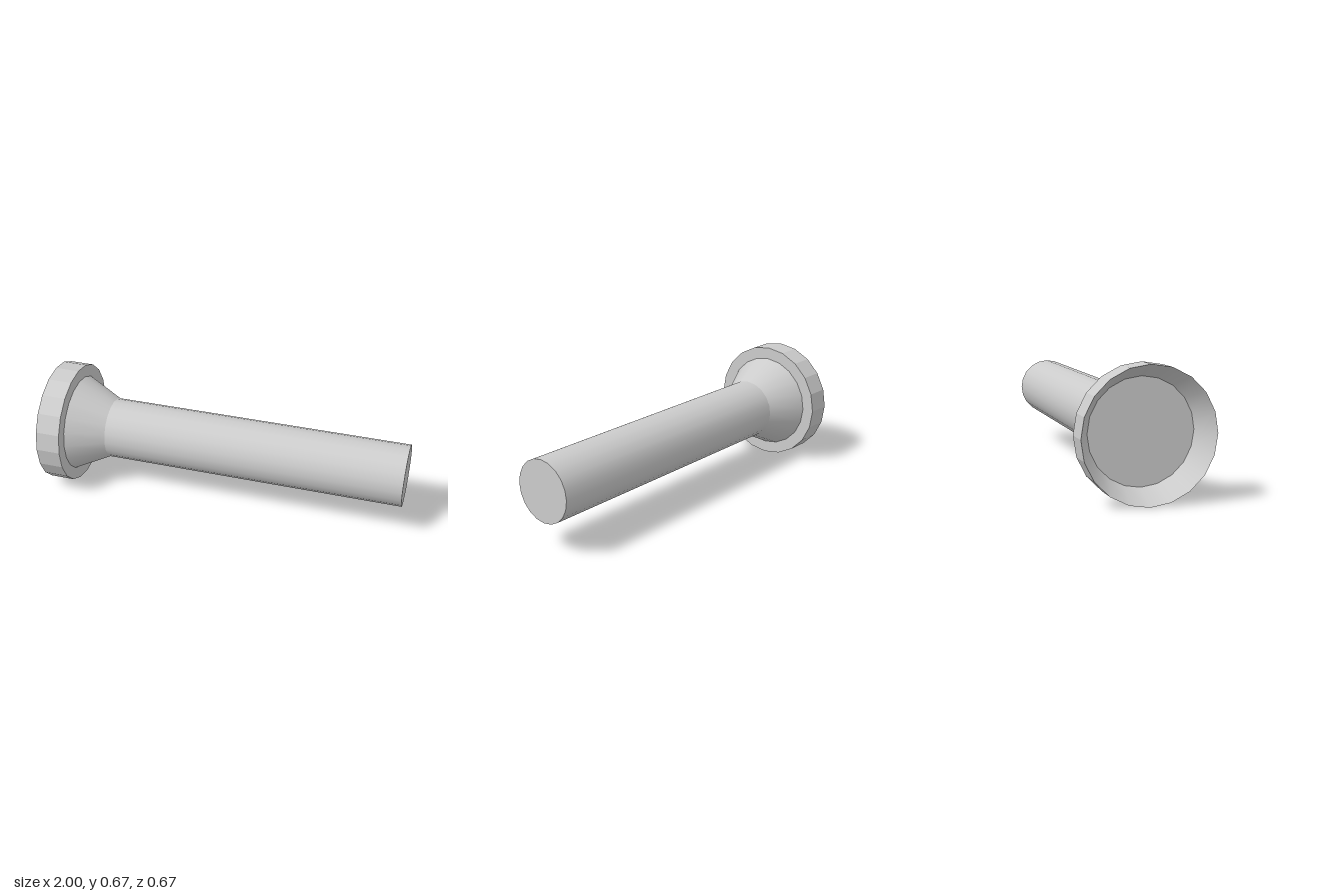
import * as THREE from 'three';

const SIDES = 20;
const HEAD_R = 0.336, NECK_R = 0.268, SHAFT_R = 0.168;
const BACK = -1, HEAD_END = -0.865, NECK_END = -0.665, TIP = 1;

export function createModel() {
  const model = new THREE.Group();
  model.name = 'flaredPin';
  const smooth = new THREE.MeshStandardMaterial({ color: 0xcccccc });
  const flat = new THREE.MeshStandardMaterial({ color: 0xcccccc, flatShading: true });
  const inner = new THREE.MeshStandardMaterial({ color: 0xcccccc, side: THREE.BackSide });

  const add = (name, geometry, material) => {
    const mesh = new THREE.Mesh(geometry, material);
    mesh.name = name;
    mesh.position.y = HEAD_R;
    model.add(mesh);
  };

  // Open tube along x from x0 (radius r0) to x1 (radius r1)
  const tube = (x0, r0, x1, r1) =>
    new THREE.CylinderGeometry(r1, r0, x1 - x0, SIDES, 1, true)
      .rotateZ(-Math.PI / 2)
      .translate((x0 + x1) / 2, 0, 0);

  // Flat disc across the axis, facing +x (dir 1) or -x (dir -1)
  const disc = (x, r, dir) =>
    new THREE.CircleGeometry(r, SIDES).rotateY(dir * Math.PI / 2).translate(x, 0, 0);

  // Head: faceted rim, front shoulder and tapered hollow at the back
  add('headRim', tube(BACK, HEAD_R, HEAD_END, HEAD_R), flat);
  add('headShoulder',
    new THREE.RingGeometry(NECK_R, HEAD_R, SIDES).rotateY(Math.PI / 2).translate(HEAD_END, 0, 0), smooth);
  add('headHollow', tube(BACK, HEAD_R, HEAD_END, NECK_R), inner);
  add('hollowFloor', disc(HEAD_END, NECK_R, -1), smooth);

  // Tapered neck and plain shaft
  add('neck', tube(HEAD_END, NECK_R, NECK_END, SHAFT_R), smooth);
  add('shaft', tube(NECK_END, SHAFT_R, TIP, SHAFT_R), smooth);
  add('shaftTip', disc(TIP, SHAFT_R, 1), smooth);

  return model;
}
